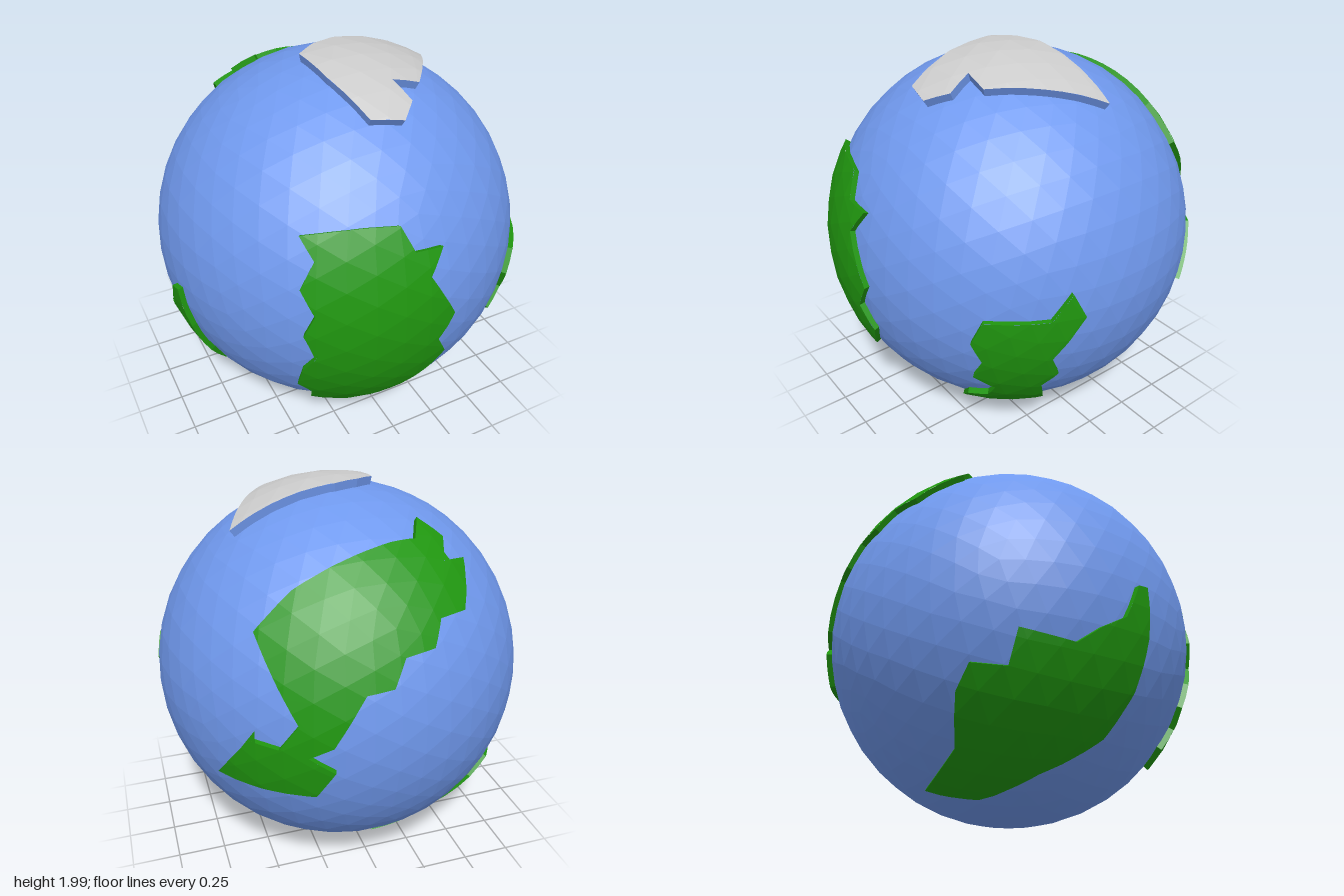
import * as THREE from 'three';

const CENTER = new THREE.Vector3(0.007, 0.978, 0);
const SEA_RADIUS = 0.972;
const DETAIL = 7;
const V3 = (x, y, z) => new THREE.Vector3(x, y, z);

const material = (color) => new THREE.MeshStandardMaterial({ color, flatShading: true });
const sea = material(0x7099ee);
const grass = material(0x20960f);
const ice = material(0xcccccc);

// Turns 2D points, as seen from a compass angle and elevation, into directions from the globe's centre
function seenFrom(azimuth, elevation, points) {
  const a = THREE.MathUtils.degToRad(azimuth), e = THREE.MathUtils.degToRad(elevation);
  const right = V3(Math.cos(a), 0, -Math.sin(a));
  const toward = V3(Math.sin(a) * Math.cos(e), Math.sin(e), Math.cos(a) * Math.cos(e));
  const up = toward.clone().cross(right);
  return points.map(([u, v]) => {
    const w = Math.sqrt(Math.max(0, 1 - u * u - v * v));
    return V3(0, 0, 0).addScaledVector(right, u).addScaledVector(up, v).addScaledVector(toward, w).normalize();
  });
}

// Cuts a 2D polygon down to the part inside a counter-clockwise triangle
function clipToTriangle(polygon, tri) {
  let result = polygon;
  for (let i = 0; i < 3; i++) {
    const a = tri[i], edge = tri[(i + 1) % 3].clone().sub(a);
    const side = (p) => edge.cross(p.clone().sub(a));
    const next = [];
    result.forEach((p, k) => {
      const q = result[(k + 1) % result.length], sp = side(p), sq = side(q);
      if (sp >= 0) next.push(p);
      if ((sp >= 0) !== (sq >= 0)) next.push(p.clone().lerp(q, sp / (sp - sq)));
    });
    result = next;
  }
  return result;
}

function makeMesh(name, positions, mat) {
  const geometry = new THREE.BufferGeometry();
  geometry.setAttribute('position', new THREE.Float32BufferAttribute(positions, 3));
  geometry.computeVertexNormals();
  const mesh = new THREE.Mesh(geometry, mat);
  mesh.name = name;
  return mesh;
}

// A raised plate: the globe's facets cut to an outline and lifted, with a wall round the rim
function raisedPlate(name, outline, radius, topMaterial, wallMaterial) {
  const axis = outline.reduce((sum, p) => sum.add(p), V3(0, 0, 0)).normalize();
  const e1 = V3(0.31, 0.83, 0.47).cross(axis).normalize();
  const e2 = axis.clone().cross(e1);
  const flatten = (p) => new THREE.Vector2(p.dot(e1), p.dot(e2)).divideScalar(p.dot(axis));
  const lift = (q) => axis.clone().addScaledVector(e1, q.x).addScaledVector(e2, q.y);

  let flat = outline.map(flatten);
  if (THREE.ShapeUtils.isClockWise(flat)) flat.reverse();

  const top = [], wall = [];
  const facets = new THREE.IcosahedronGeometry(radius, DETAIL).attributes.position;
  for (let i = 0; i < facets.count; i += 3) {
    const corners = [0, 1, 2].map((k) => V3().fromBufferAttribute(facets, i + k));
    if (corners.some((c) => c.dot(axis) < 0.15)) continue;
    const piece = clipToTriangle(flat, corners.map(flatten));
    if (piece.length < 3) continue;
    const plane = new THREE.Plane().setFromCoplanarPoints(...corners);
    for (const t of THREE.ShapeUtils.triangulateShape(piece, [])) {
      const [a, b, c] = t.map((k) => piece[k]);
      const area = b.clone().sub(a).cross(c.clone().sub(a));
      if (Math.abs(area) < 1e-7) continue;
      for (const q of area > 0 ? [a, b, c] : [a, c, b]) {
        const ray = lift(q);
        top.push(...ray.multiplyScalar(-plane.constant / plane.normal.dot(ray)).toArray());
      }
    }
  }

  // Rim wall, split into short steps so that it follows the curve
  flat.forEach((p, i) => {
    const q = flat[(i + 1) % flat.length];
    const steps = Math.ceil(p.distanceTo(q) / 0.12);
    for (let s = 0; s < steps; s++) {
      const a = lift(p.clone().lerp(q, s / steps)).normalize();
      const b = lift(p.clone().lerp(q, (s + 1) / steps)).normalize();
      const at = (d, r) => d.clone().multiplyScalar(r).toArray();
      const low = SEA_RADIUS - 0.02, high = radius - 0.002;
      wall.push(...at(a, low), ...at(b, low), ...at(b, high));
      wall.push(...at(a, low), ...at(b, high), ...at(a, high));
    }
  });

  const group = new THREE.Group();
  group.name = name;
  group.add(makeMesh(name + 'Top', top, topMaterial), makeMesh(name + 'Rim', wall, wallMaterial));
  return group;
}

export function createModel() {
  const model = new THREE.Group();
  model.name = 'globe';
  const globe = new THREE.Group();
  globe.name = 'planet';
  globe.position.copy(CENTER);
  model.add(globe);

  const ocean = new THREE.Mesh(new THREE.IcosahedronGeometry(SEA_RADIUS, DETAIL), sea);
  ocean.name = 'ocean';
  globe.add(ocean);

  // Tall continent on the front
  const front = seenFrom(0, 0, [
    [-0.53, 0.48], [-0.41, 0.5], [-0.26, 0.51], [-0.11, 0.5], [-0.06, 0.38], [0.085, 0.37], [0.005, 0.25],
    [0.145, 0], [0.065, -0.14], [0.135, -0.27], [0.065, -0.385], [-0.035, -0.495], [-0.19, -0.61],
    [-0.335, -0.68], [-0.465, -0.605], [-0.485, -0.49], [-0.57, -0.395], [-0.57, -0.25], [-0.515, -0.125],
    [-0.575, 0], [-0.525, 0.12], [-0.57, 0.25], [-0.495, 0.38]]);
  globe.add(raisedPlate('frontContinent', front, 1, grass, grass));

  // Ragged continent on the left side
  const left = seenFrom(90, 0, [
    [-0.346, 0.13], [-0.287, 0], [-0.416, -0.243], [-0.357, -0.36], [-0.4, -0.468], [-0.292, -0.678],
    [-0.367, -0.764], [-0.448, -0.796], [-0.576, -0.74], [-0.63, -0.615], [-0.576, -0.58], [-0.587, -0.478],
    [-0.69, -0.383], [-0.678, -0.265], [-0.735, -0.13], [-0.7, 0], [-0.442, 0]]);
  globe.add(raisedPlate('leftContinent', left, 1, grass, grass));

  // Wide continent on the back, joined to a smaller one by a narrow neck
  const back = [
    ...seenFrom(90, 0, [
      [0.635, 0.5], [0.88, 0.13], [0.84, 0], [0.75, 0.02], [0.576, -0.235], [0.887, -0.26],
      [0.946, -0.11], [0.907, -0.03]]),
    ...seenFrom(213, 27, [
      [-0.78, -0.26], [-0.655, -0.08], [-0.553, -0.1], [-0.475, 0.01], [-0.335, -0.005], [-0.25, 0.105],
      [-0.095, 0.09], [0.1, 0.307], [-0.055, 0.33], [0.067, 0.436], [0.017, 0.564], [-0.112, 0.475],
      [-0.235, 0.5], [-0.46, 0.5], [-0.68, 0.46]])];
  globe.add(raisedPlate('backContinent', back, 1, grass, grass));

  // Continent running from the right side down underneath
  const right = [
    [-0.987, -0.03, 0.14], [-0.977, -0.206, 0.067], [-0.958, -0.28, -0.06], [-0.917, -0.363, -0.17],
    [-0.848, -0.32, -0.424], [-0.767, -0.474, -0.43], [-0.68, -0.455, -0.576], [-0.58, -0.558, -0.59],
    [-0.41, -0.76, -0.506], [-0.05, -0.87, -0.49], [-0.23, -0.927, -0.29], [-0.51, -0.85, -0.13],
    [-0.7, -0.7, 0.1], [-0.845, -0.5, 0.19], [-0.94, -0.27, 0.22], [-0.975, -0.02, 0.2],
  ].map((p) => V3(...p).normalize());
  globe.add(raisedPlate('rightContinent', right, 1, grass, grass));

  // Polar ice cap
  const cap = seenFrom(0, 90, [
    [-0.18, 0.02], [-0.08, 0.09], [0.05, 0.135], [0.3, 0.145], [0.575, 0.145], [0.43, -0.135], [0.27, -0.355],
    [0.13, -0.34], [0.165, -0.465], [0.075, -0.555], [-0.085, -0.52], [-0.16, -0.24]]);
  globe.add(raisedPlate('iceCap', cap, 1.015, ice, sea));

  return model;
}
